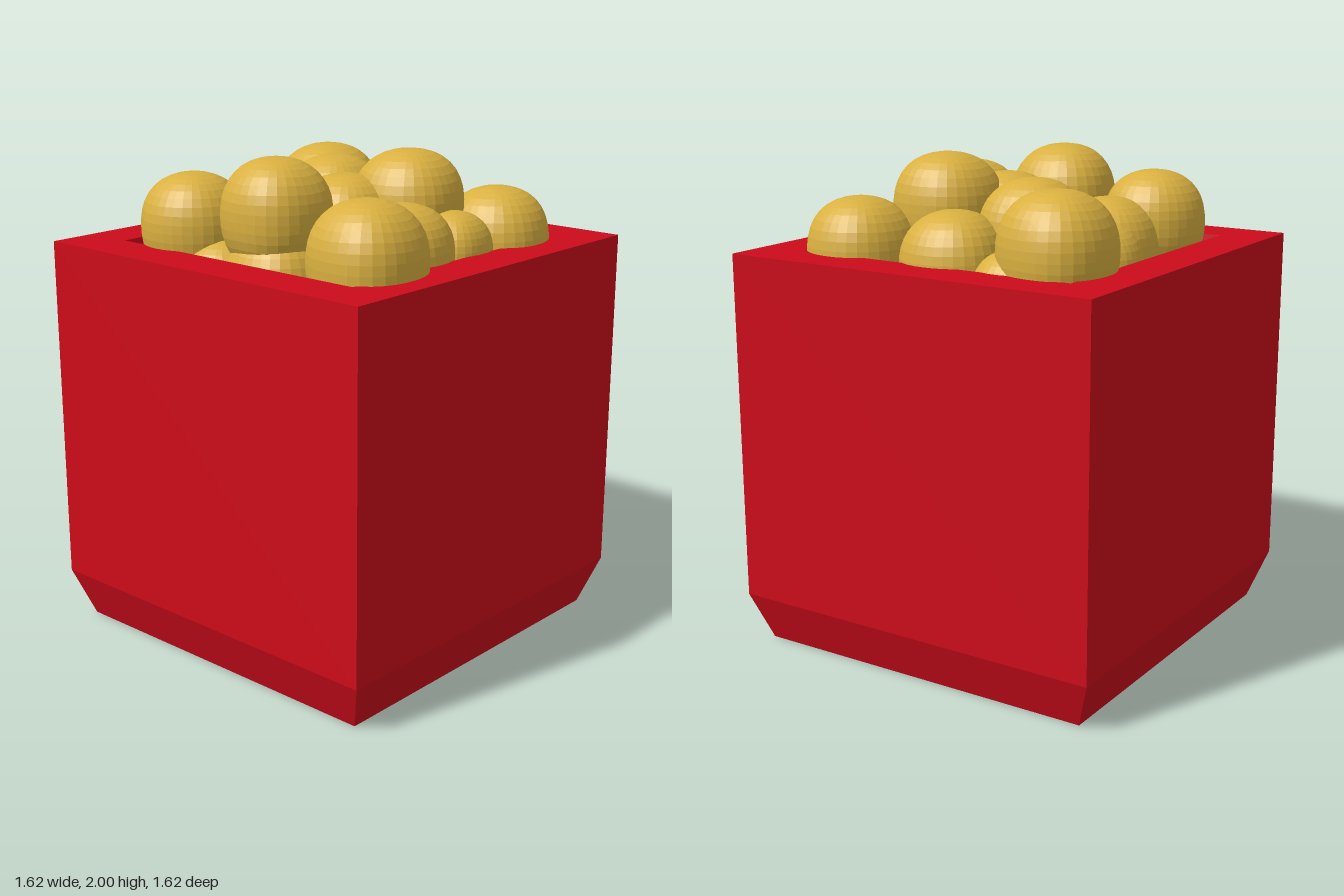
import * as THREE from 'three';

const red = new THREE.MeshStandardMaterial({ color: 0xcc0c1a, flatShading: true });
const gold = new THREE.MeshStandardMaterial({ color: 0xd9b040, flatShading: true });

// Square box: bevelled foot, thick rim and an inside that narrows downwards
function makeBox() {
  const profile = [[0, 0], [0.74, 0], [0.81, 0.2], [0.81, 1.63], [0.61, 1.63], [0.42, 0.2], [0, 0.2]];
  const points = profile.map(([half, y]) => new THREE.Vector2(half * Math.SQRT2, y));
  const geometry = new THREE.LatheGeometry(points, 4, Math.PI / 4).toNonIndexed();
  geometry.computeVertexNormals();
  const mesh = new THREE.Mesh(geometry, red);
  mesh.name = 'box';
  return mesh;
}

// Puffy ball: a slightly squared sphere with soft lumps that differ per piece
function makePuff(x, z, r, top, index) {
  const geometry = new THREE.SphereGeometry(1, 32, 20);
  const pos = geometry.attributes.position;
  const v = new THREE.Vector3();
  for (let i = 0; i < pos.count; i++) {
    v.fromBufferAttribute(pos, i);
    const squared = Math.pow(Math.abs(v.x) ** 2.3 + Math.abs(v.y) ** 2.3 + Math.abs(v.z) ** 2.3, -1 / 2.3);
    const lump = 0.03 * Math.sin(3 * v.x + index) * Math.cos(3 * v.z - 2 * index) * (1 - v.y * v.y);
    v.multiplyScalar(0.97 * squared + lump);
    pos.setXYZ(i, v.x, v.y, v.z);
  }
  geometry.scale(r, r * 1.06, r);
  geometry.computeVertexNormals();
  geometry.computeBoundingBox();
  const mesh = new THREE.Mesh(geometry, gold);
  mesh.position.set(x, top - geometry.boundingBox.max.y, z);
  mesh.name = 'puff' + (index + 1);
  return mesh;
}

// x, z, radius and top height of each piece in the heap
const PUFFS = [
  [-0.44, -0.42, 0.23, 1.93], [0.01, -0.44, 0.21, 1.82], [0.46, -0.44, 0.22, 1.84],
  [-0.19, -0.19, 0.215, 1.93], [0.24, -0.15, 0.22, 2.0], [0.09, 0.06, 0.22, 1.91],
  [-0.31, 0.19, 0.21, 1.82], [0.0, 0.36, 0.22, 2.0], [-0.39, 0.43, 0.21, 1.91],
  [0.49, 0.39, 0.23, 1.9], [0.43, 0.12, 0.2, 1.84], [0.47, -0.14, 0.16, 1.78],
  [-0.44, -0.1, 0.17, 1.76], [0.03, 0.38, 0.22, 1.73], [-0.22, 0.44, 0.18, 1.67],
  [-0.29, -0.48, 0.17, 1.7], [-0.16, -0.44, 0.16, 1.64], [0.22, 0.28, 0.17, 1.64],
];

export function createModel() {
  const model = new THREE.Group();
  model.name = 'boxOfPuffs';
  model.add(makeBox());
  const heap = new THREE.Group();
  heap.name = 'heap';
  PUFFS.forEach(([x, z, r, top], i) => heap.add(makePuff(x, z, r, top, i)));
  model.add(heap);
  return model;
}
